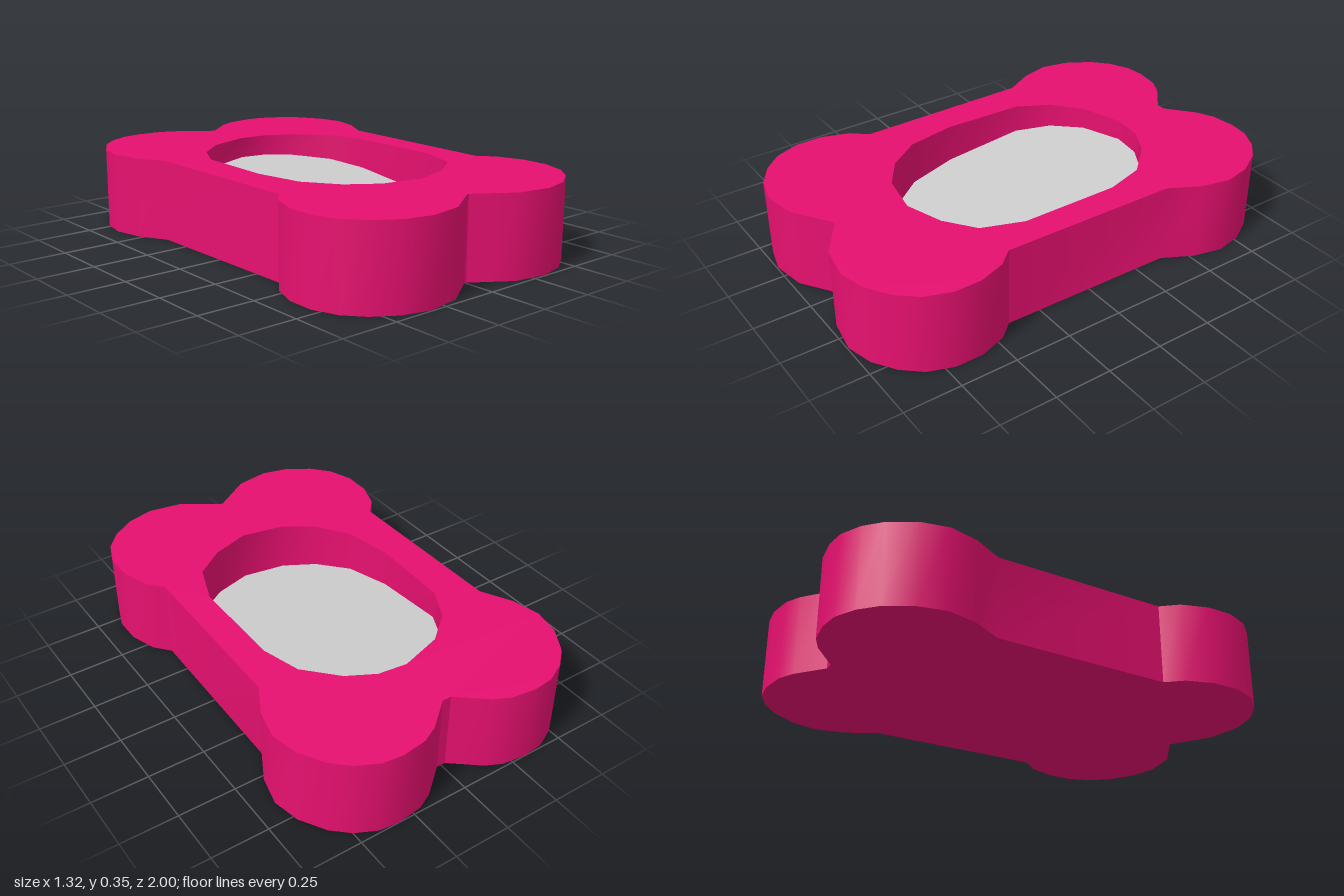
import * as THREE from 'three';
import { toCreasedNormals } from 'three/addons/utils/BufferGeometryUtils.js';

const HEIGHT = 0.355;

// Half of the bone-shaped outline as [x, z], from the back notch round to the front notch
const half = [
  [0.02, -0.85], [0.14, -0.95], [0.21, -0.985], [0.32, -1], [0.41, -0.99], [0.5, -0.945],
  [0.57, -0.88], [0.635, -0.77], [0.66, -0.65], [0.63, -0.52], [0.56, -0.39],
  [0.55, 0.4], [0.61, 0.47], [0.65, 0.59], [0.65, 0.71], [0.61, 0.82], [0.54, 0.9],
  [0.44, 0.965], [0.32, 0.995], [0.17, 0.97], [0.08, 0.91], [0.005, 0.86],
];
const outline = [...half, ...half.map(([x, z]) => [-x, z]).reverse()];

// Rim of the bowl recess
const recess = [
  [0, -0.6], [0.13, -0.585], [0.25, -0.52], [0.375, -0.385], [0.425, -0.21], [0.425, 0.23],
  [0.36, 0.41], [0.23, 0.505], [0.06, 0.56], [-0.13, 0.525], [-0.26, 0.435], [-0.36, 0.29],
  [-0.4, 0.07], [-0.39, -0.29], [-0.315, -0.435], [-0.19, -0.54],
];

// The recess floor slopes down towards the front
const floorY = (z) => 0.193 - 0.115 * z;

const toPoints = (loop, sign) => loop.map(([x, z]) => new THREE.Vector2(x, sign * z));

// Flat face that looks up or down, with an optional hole
function face(loop, up, hole) {
  const sign = up ? -1 : 1;
  const shape = new THREE.Shape(toPoints(loop, sign));
  if (hole) shape.holes.push(new THREE.Path(toPoints(hole, sign)));
  return new THREE.ShapeGeometry(shape).rotateX(sign * Math.PI / 2);
}

// Vertical wall round a closed loop, from bottom(z) up to the top face
function wall(loop, bottom) {
  const positions = [];
  loop.forEach(([x, z], i) => {
    const [u, w] = loop[(i + 1) % loop.length];
    const a = [x, bottom(z), z], b = [u, bottom(w), w];
    const c = [x, HEIGHT, z], d = [u, HEIGHT, w];
    positions.push(...a, ...c, ...b, ...b, ...c, ...d);
  });
  const geometry = new THREE.BufferGeometry();
  geometry.setAttribute('position', new THREE.Float32BufferAttribute(positions, 3));
  return toCreasedNormals(geometry, 0.58);
}

export function createModel() {
  const model = new THREE.Group();
  model.name = 'boneShapedTray';
  const pink = new THREE.MeshStandardMaterial({ color: 0xe6106f });
  const grey = new THREE.MeshStandardMaterial({ color: 0xcccccc });
  const add = (parent, name, geometry, material) => {
    const mesh = new THREE.Mesh(geometry, material);
    mesh.name = name;
    parent.add(mesh);
  };

  // Pink body
  const body = new THREE.Group();
  body.name = 'body';
  model.add(body);
  add(body, 'outerWall', wall(outline, () => 0), pink);
  add(body, 'topFace', face(outline, true, recess).translate(0, HEIGHT, 0), pink);
  add(body, 'bottomFace', face(outline, false), pink);
  add(body, 'recessWall', wall([...recess].reverse(), floorY), pink);

  // Grey sloping floor of the recess
  const floor = face(recess, true);
  const position = floor.attributes.position;
  for (let i = 0; i < position.count; i++) position.setY(i, floorY(position.getZ(i)));
  floor.computeVertexNormals();
  add(model, 'recessFloor', floor, grey);

  return model;
}
